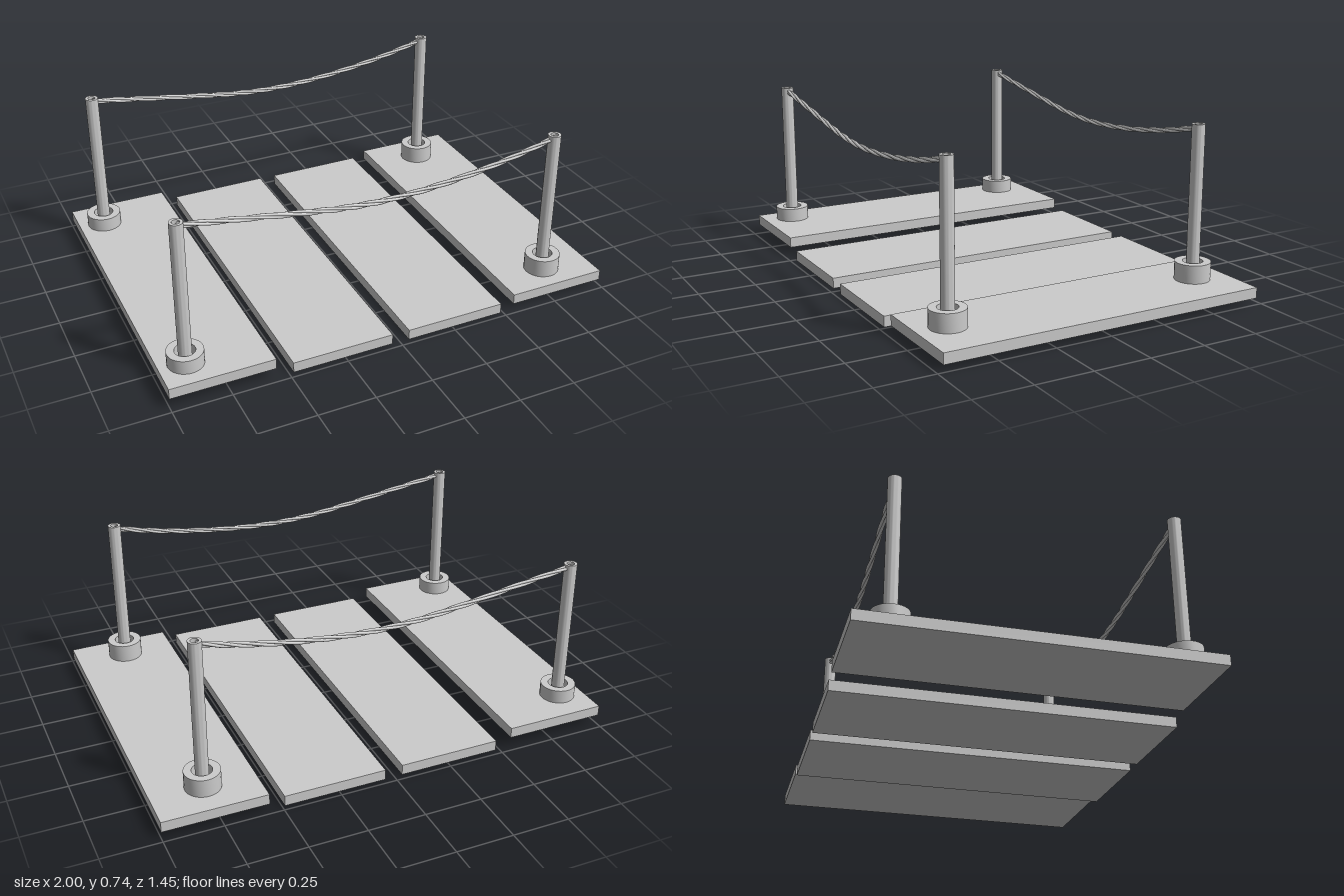
import * as THREE from 'three';
import { toCreasedNormals } from 'three/addons/utils/BufferGeometryUtils.js';

const material = new THREE.MeshStandardMaterial({ color: 0xcccccc });

function addMesh(parent, name, geometry, x, y, z) {
  const mesh = new THREE.Mesh(geometry, material);
  mesh.name = name;
  mesh.position.set(x, y, z);
  parent.add(mesh);
  return mesh;
}

// Upright pipe with a wall, open through the middle
function pipe(inner, outer, height) {
  const profile = [[inner, 0], [outer, 0], [outer, height], [inner, height], [inner, 0]]
    .map(([r, y]) => new THREE.Vector2(r, y));
  return toCreasedNormals(new THREE.LatheGeometry(profile, 32), 0.6);
}

// One strand winding around the sagging centre line of a rope
class StrandCurve extends THREE.Curve {
  constructor(path, phase, offset, turns) {
    super();
    Object.assign(this, { path, phase, offset, turns });
  }
  getPoint(t, target = new THREE.Vector3()) {
    const tangent = this.path.getTangent(t);
    const a = this.phase + t * this.turns * Math.PI * 2;
    const up = new THREE.Vector3(-tangent.y, tangent.x, 0);
    target.copy(this.path.getPoint(t)).addScaledVector(up, Math.cos(a) * this.offset);
    target.z += Math.sin(a) * this.offset;
    return target;
  }
}

export function createModel() {
  const model = new THREE.Group();
  model.name = 'ropeBridgeSection';

  // Planks: centre x and bottom height
  const planks = [[-0.777, 0.048], [-0.258, 0.004], [0.265, 0.002], [0.775, 0.03]];
  planks.forEach(([x, y], i) => {
    addMesh(model, `plank${i + 1}`, new THREE.BoxGeometry(0.446, 0.046, 1.45), x, y + 0.023, 0);
  });

  // Posts and collars stand on the two end planks
  const top = 0.74, collarTop = 0.155;
  const ends = [[-0.885, 0.094, 'right'], [0.775, 0.076, 'left']];
  const rows = [[0.592, 'front'], [-0.565, 'back']];

  const ropePath = new THREE.CatmullRomCurve3([
    [-0.885, 0.725], [-0.66, 0.692], [-0.4, 0.653], [-0.2, 0.627], [-0.02, 0.617],
    [0.18, 0.624], [0.4, 0.648], [0.6, 0.683], [0.775, 0.724],
  ].map(([x, y]) => new THREE.Vector3(x, y, 0)));

  for (const [z, row] of rows) {
    for (const [x, y, side] of ends) {
      addMesh(model, `${row}${side}Collar`, pipe(0.043, 0.076, collarTop - y), x, y, z);
      addMesh(model, `${row}${side}Post`, pipe(0.016, 0.028, top - y), x, y, z);
    }

    // Three-strand rope
    const rope = new THREE.Group();
    rope.name = `${row}Rope`;
    rope.position.z = z;
    for (let i = 0; i < 3; i++) {
      const strand = new StrandCurve(ropePath, i * Math.PI * 2 / 3, 0.0065, 5);
      addMesh(rope, `strand${i + 1}`, new THREE.TubeGeometry(strand, 120, 0.0065, 8), 0, 0, 0);
    }
    model.add(rope);
  }
  return model;
}
